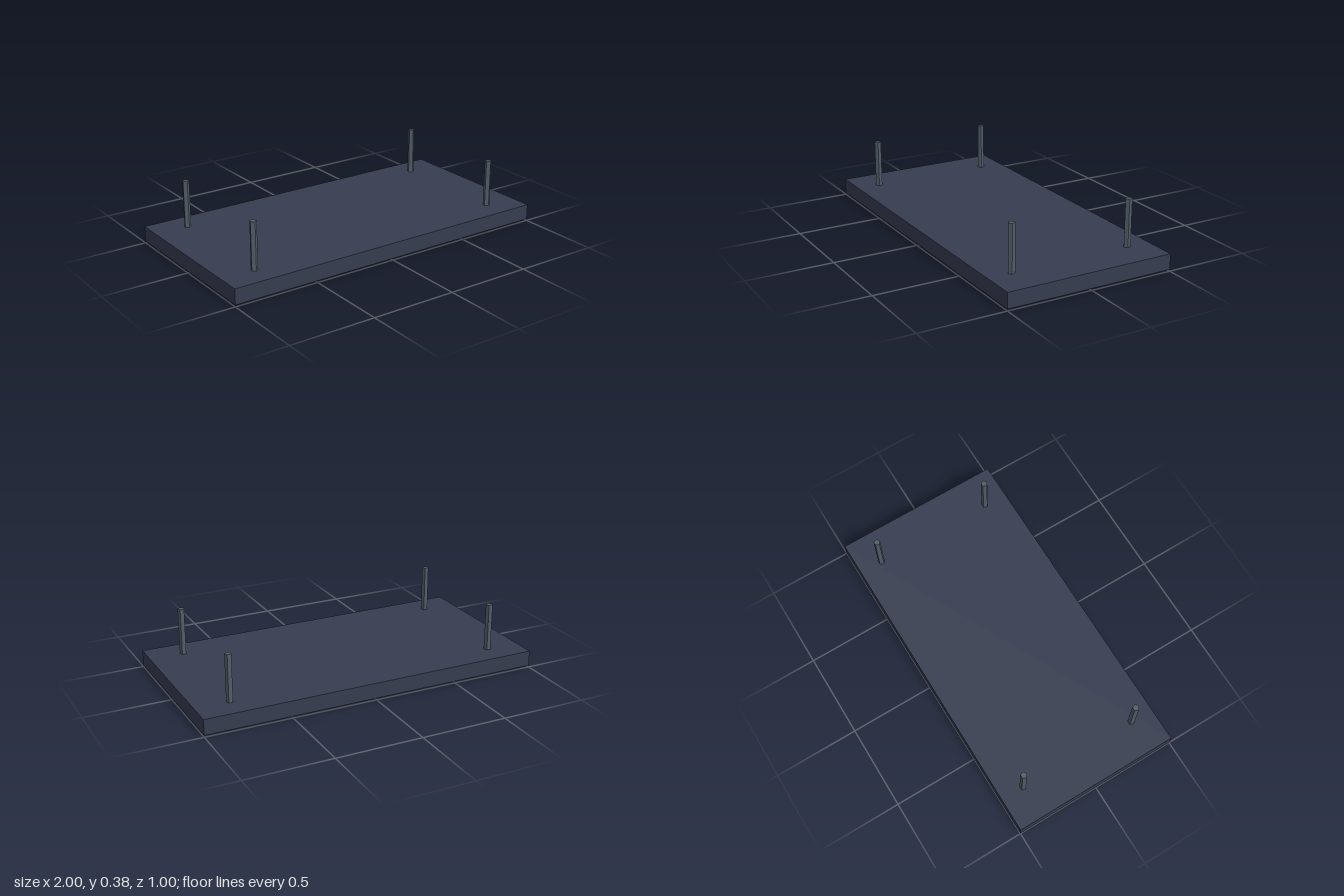
import * as THREE from 'three';

const slate = new THREE.MeshStandardMaterial({ color: 0x363c50 });
slate.name = 'darkSlate';
const steel = new THREE.MeshStandardMaterial({ color: 0x525d68 });
steel.name = 'greySteel';
const cream = new THREE.MeshStandardMaterial({ color: 0xcbbca6 });
cream.name = 'warmCream';

function addMesh(group, name, geometry, material, x, y, z) {
  const mesh = new THREE.Mesh(geometry, material);
  mesh.name = name;
  mesh.position.set(x, y, z);
  group.add(mesh);
  return mesh;
}

export function createModel() {
  const model = new THREE.Group();
  model.name = 'hangingPanel';

  // Main slab
  addMesh(model, 'slab', new THREE.BoxGeometry(2, 0.09, 1), slate, 0, 0.055, 0);

  // Five-sided suspension rods, one vertex facing forward
  const rod = new THREE.CylinderGeometry(0.02, 0.02, 0.275, 5).toNonIndexed();
  rod.computeVertexNormals();
  for (const x of [-0.8, 0.8]) {
    for (const z of [-0.36, 0.36]) {
      addMesh(model, 'hangerRod', rod, steel, x, 0.2375, z);
    }
  }

  // Long light strips under the slab
  const strip = new THREE.BoxGeometry(1.86, 0.01, 0.072);
  for (const z of [-0.335, 0.335]) {
    addMesh(model, 'lightStrip', strip, cream, 0, 0.005, z);
  }

  // Row of thin vent slats between the strips
  const slat = new THREE.BoxGeometry(0.13, 0.004, 0.56);
  for (let i = 0; i < 10; i++) {
    addMesh(model, 'ventSlat', slat, steel, (i - 4.5) * 0.18, 0.009, 0);
  }

  return model;
}
